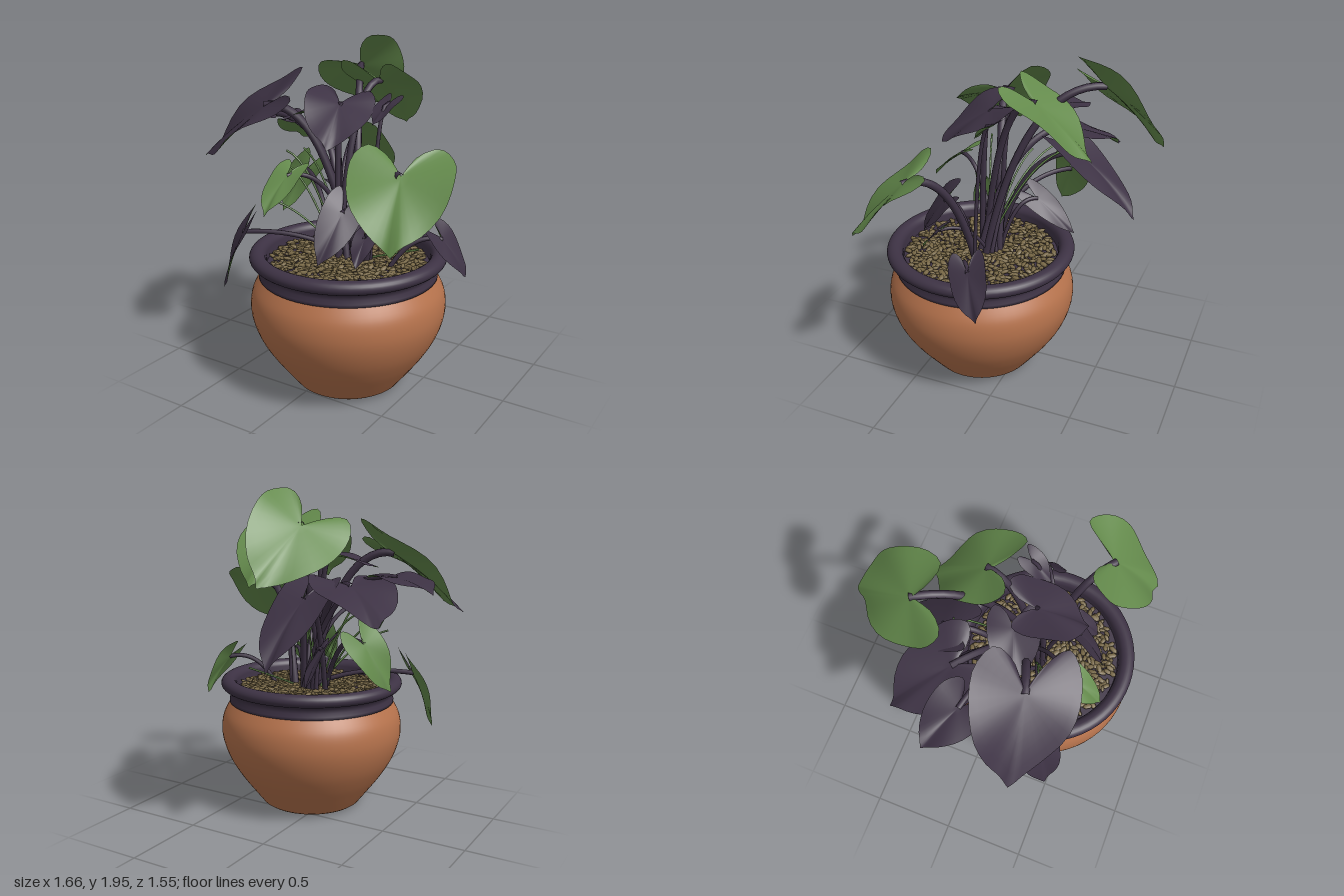
import * as THREE from 'three';
import { mergeGeometries } from 'three/addons/utils/BufferGeometryUtils.js';

const mat = (name, color) => {
  const m = new THREE.MeshStandardMaterial({ color });
  m.name = name;
  return m;
};
const V = (a) => new THREE.Vector3(...a);
const CX = 0.11, CZ = 0.22; // pot axis

// Small seeded generator for the gravel
function seeded(s) {
  return () => {
    s = (s * 16807) % 2147483647;
    return s / 2147483647;
  };
}

// Half outline of a heart leaf: across (half widths), along (lengths)
const HALF = [[0, 1], [0.16, 0.9], [0.5, 0.73], [0.86, 0.42], [1, 0.06], [0.97, -0.24], [0.7, -0.45], [0.3, -0.32], [0, -0.03]];

// Heart leaf fanned out from its stalk joint, with an upper and a lower face
function leafGeometry(base, tip, half, roll, phase) {
  const along = tip.clone().sub(base), L = along.length();
  along.normalize();
  const side = along.clone().cross(new THREE.Vector3(0, 1, 0)).normalize().applyAxisAngle(along, roll);
  const n = side.clone().cross(along);
  const right = new THREE.CatmullRomCurve3(HALF.map(([x, y]) => new THREE.Vector3(x, y, 0))).getPoints(20);
  const left = right.slice(1, -1).reverse().map((p) => new THREE.Vector3(-p.x, p.y, 0));
  const rim = [...right, ...left], N = rim.length, R = 6;
  const pos = [], faces = [[], []];
  for (let s = 0; s < 2; s++) {
    const id = (k, i) => s * (N * R + 1) + (k ? 1 + (k - 1) * N + (i % N) : 0);
    for (let k = 0; k <= R; k++) {
      for (let i = 0; i < (k ? N : 1); i++) {
        const t = k / R, x = rim[i].x * t * half, v = rim[i].y * t;
        // Arched lengthwise, folded along the midrib, wavy at the edge
        const h = 0.16 * L * v * (1 - v) + 0.08 * Math.abs(x)
          + 0.06 * half * t * t * Math.sin(i * 0.8 + phase) - s * 0.006 * (1 - t);
        const p = base.clone().addScaledVector(side, x).addScaledVector(along, v * L).addScaledVector(n, h);
        pos.push(p.x, p.y, p.z);
        if (!k) continue;
        const tris = [[id(k - 1, i), id(k, i + 1), id(k, i)]];
        if (k > 1) tris.push([id(k - 1, i), id(k - 1, i + 1), id(k, i + 1)]);
        for (const [a, b, c] of tris) faces[s].push(...(s ? [a, c, b] : [a, b, c]));
      }
    }
  }
  const g = new THREE.BufferGeometry();
  g.setAttribute('position', new THREE.Float32BufferAttribute(pos, 3));
  g.setIndex([...faces[0], ...faces[1]]);
  g.addGroup(0, faces[0].length, 0);
  g.addGroup(faces[0].length, faces[1].length, 1);
  g.computeVertexNormals();
  return g;
}

export function createModel() {
  const model = new THREE.Group();
  model.name = 'pottedPlant';
  const terracotta = mat('terracotta', 0xb5724c);
  const purple = mat('darkPurple', 0x3d3244);
  const green = mat('leafGreen', 0x648a4c);
  const stone = mat('gravel', 0x786846);
  const add = (name, geo, m, parent = model) => {
    const mesh = new THREE.Mesh(geo, m);
    mesh.name = name;
    parent.add(mesh);
  };
  const lathe = (pts) => new THREE.LatheGeometry(pts.map((p) => new THREE.Vector2(...p)), 64).translate(CX, 0, CZ);

  // Pot body: straight foot, then a rounded belly
  const belly = new THREE.SplineCurve([[0.31, 0.025], [0.38, 0.115], [0.45, 0.21], [0.51, 0.31], [0.548, 0.41], [0.56, 0.5], [0.545, 0.59], [0.495, 0.68]]
    .map((p) => new THREE.Vector2(...p))).getPoints(40).map((p) => [p.x, p.y]);
  add('potBody', lathe([[0.22, 0.006], [0.25, 0.006], [0.29, 0.012], ...belly]), terracotta);
  add('potBase', new THREE.CylinderGeometry(0.25, 0.25, 0.008, 48).translate(CX, 0.004, CZ), purple);

  // Collar and rolled rim, turned down on the inside
  const lip = [];
  for (let i = 0; i <= 16; i++) {
    const a = -1.35 + (i / 16) * 4.15;
    lip.push([0.515 + 0.045 * Math.cos(a), 0.782 + 0.038 * Math.sin(a)]);
  }
  add('potRim', lathe([[0.49, 0.665], [0.51, 0.668], [0.51, 0.685], [0.5, 0.705], [0.502, 0.73], ...lip, [0.465, 0.78], [0.46, 0.7]]), purple);

  // Soil and gravel
  add('soil', new THREE.CircleGeometry(0.465, 48).rotateX(-Math.PI / 2).translate(CX, 0.735, CZ), purple);
  const rnd = seeded(77), pebbles = [];
  for (let i = 0; i < 700; i++) {
    const r = 0.44 * Math.sqrt((i + rnd()) / 700), a = i * 2.39996 + rnd() * 0.1, s = 0.75 + 0.5 * rnd();
    const g = new THREE.SphereGeometry(1, 6, 4).scale(0.028 * s, 0.01 * s, 0.015 * s);
    g.rotateZ((rnd() - 0.5) * 0.7).rotateY(rnd() * 6.28);
    pebbles.push(g.translate(CX + r * Math.cos(a), 0.742 + rnd() * 0.014, CZ + r * Math.sin(a)));
  }
  add('gravel', mergeGeometries(pebbles), stone);

  // Leaves: name, upper colour, stalk joint, tip, half width, roll about the midrib
  const leaves = [
    ['backTopLeaf', green, [-0.2, 1.76, -0.42], [-0.16, 1.47, -0.77], 0.25, -0.7],
    ['backLeaf', green, [0.11, 1.72, -0.13], [0.11, 1.42, -0.44], 0.22],
    ['largeRightLeaf', purple, [-0.41, 1.59, 0.28], [-0.81, 1.25, 0.34], 0.29, -0.4],
    ['backRightLeaf', purple, [-0.36, 1.43, -0.15], [-0.64, 1.26, -0.4], 0.23],
    ['lowBackLeaf', purple, [-0.14, 1.36, -0.3], [-0.12, 1.02, -0.65], 0.17],
    ['farRightLeaf', purple, [-0.57, 1.48, -0.02], [-0.82, 1.42, -0.13], 0.15],
    ['middleLeaf', purple, [0.03, 1.62, 0.18], [0.12, 1.42, 0.45], 0.19, -0.2],
    ['middleRightLeaf', purple, [-0.1, 1.58, 0.1], [-0.35, 1.5, 0.2], 0.14],
    ['smallUpperLeaf', purple, [0.27, 1.63, 0.06], [0.24, 1.52, 0.18], 0.07],
    ['frontLeftLeaf', green, [0.57, 1.34, 0.46], [0.67, 1.02, 0.73], 0.27],
    ['smallFrontLeaf', green, [-0.14, 1.25, 0.45], [-0.15, 1.07, 0.65], 0.1],
    ['lowFrontLeaf', purple, [0.19, 1.08, 0.41], [0.15, 0.83, 0.59], 0.11, -0.7],
    ['tinyFrontLeaf', purple, [0.32, 0.95, 0.39], [0.33, 0.82, 0.5], 0.065],
    ['lowRightLeaf', purple, [-0.49, 0.86, 0.42], [-0.58, 0.52, 0.5], 0.12],
    ['rightLeaf', green, [-0.44, 1.12, -0.15], [-0.55, 0.85, -0.05], 0.13, 1],
    ['lowRearLeaf', purple, [-0.12, 1.04, -0.05], [-0.14, 0.84, -0.28], 0.08, 0.7],
    ['lowLeftLeaf', purple, [0.62, 0.91, 0.06], [0.73, 0.68, -0.03], 0.11, 0.6],
  ];
  leaves.forEach(([name, colour, base, tip, half, roll = 0], i) => {
    const part = new THREE.Group();
    part.name = name;
    model.add(part);
    const b = V(base), a = i * 2.4;
    add('blade', leafGeometry(b, V(tip), half, roll, i), [colour, green], part);
    // Stalk rises from the middle of the pot and bends over into the blade
    const root = new THREE.Vector3(0.06 + 0.08 * Math.cos(a) + 0.4 * Math.max(b.x, 0), 0.73, 0.18 + 0.06 * Math.sin(a));
    const bend = root.clone().lerp(b, 0.3).setY(b.y - 0.02);
    const curve = new THREE.CubicBezierCurve3(root, root.clone().lerp(bend, 0.6), bend.clone().lerp(b, 0.25).setY(b.y + 0.04), b);
    add('stalk', new THREE.TubeGeometry(curve, 24, 0.007 + 0.06 * half, 8), purple, part);
  });

  // Thin young green shoots
  const shoots = [[-0.42, 1.22, 0.1], [-0.25, 1.35, 0.3], [-0.3, 1.1, 0.45], [-0.1, 1.4, -0.25], [-0.38, 1.28, -0.05], [0.5, 0.84, 0.1]];
  shoots.forEach((end, i) => {
    const root = new THREE.Vector3(0.02 + 0.02 * i, 0.73, 0.2), e = V(end);
    const curve = new THREE.QuadraticBezierCurve3(root, root.clone().lerp(e, 0.5).setY(e.y - 0.05), e);
    add('shoot', new THREE.TubeGeometry(curve, 16, 0.006, 6), green);
  });
  return model;
}
